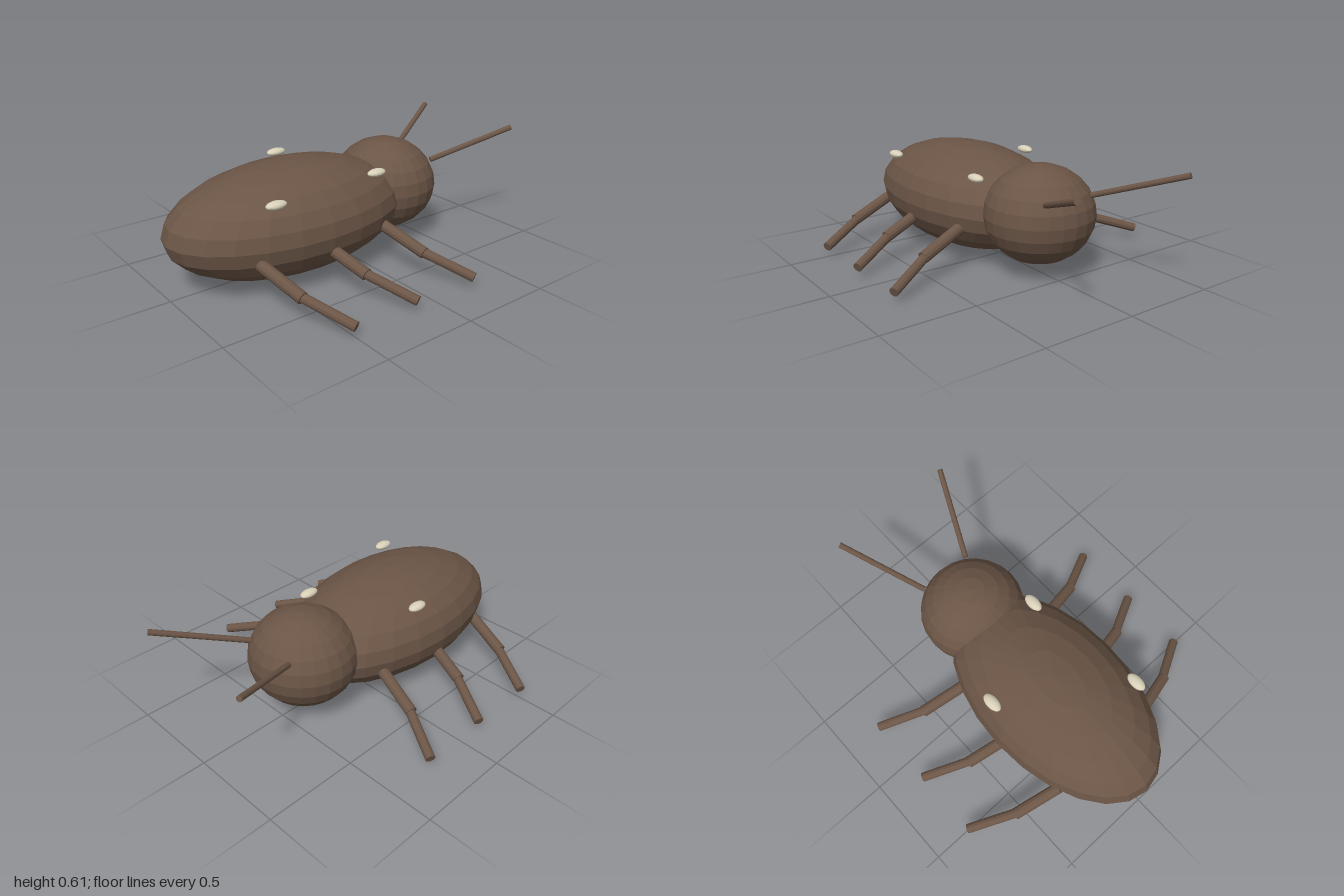
import * as THREE from 'three';

export function createModel() {
  const model = new THREE.Group();
  model.name = 'beetle';
  const brown = new THREE.MeshStandardMaterial({ name: 'shell brown', color: 0x6b5546, flatShading: true });
  const cream = new THREE.MeshStandardMaterial({ name: 'spot cream', color: 0xd8d0b8, flatShading: true });

  const ellipsoid = (name, material, center, radii, parent = model) => {
    const geometry = new THREE.SphereGeometry(1, 24, 12).scale(...radii);
    const mesh = new THREE.Mesh(geometry, material);
    mesh.name = name;
    mesh.position.set(...center);
    parent.add(mesh);
  };

  // Straight rod between two points
  const rod = (name, from, to, radius, parent = model) => {
    const a = new THREE.Vector3(...from);
    const b = new THREE.Vector3(...to);
    const dir = b.clone().sub(a);
    const mesh = new THREE.Mesh(new THREE.CylinderGeometry(radius, radius, dir.length(), 12), brown);
    mesh.name = name;
    mesh.position.copy(a).add(b).multiplyScalar(0.5);
    mesh.quaternion.setFromUnitVectors(new THREE.Vector3(0, 1, 0), dir.normalize());
    parent.add(mesh);
  };

  // Body and head
  ellipsoid('body', brown, [-0.31, 0.29, 0], [0.69, 0.285, 0.4]);
  ellipsoid('head', brown, [0.34, 0.32, 0], [0.285, 0.255, 0.29]);

  // Pale spots on the back
  const spots = [[-0.58, 0.495, 0.305], [0.095, 0.483, 0.22], [-0.175, 0.515, -0.31]];
  for (const spot of spots) ellipsoid('spot', cream, spot, [0.056, 0.021, 0.031]);

  for (const side of [1, -1]) {
    const sideName = side > 0 ? 'front' : 'back';

    // Three jointed legs on each flank
    for (const x of [-0.62, -0.25, 0.13]) {
      const leg = new THREE.Group();
      leg.name = sideName + 'Leg';
      const knee = [x, 0.14, side * 0.56];
      rod('upperLeg', [x - 0.06, 0.225, side * 0.31], knee, 0.031, leg);
      rod('lowerLeg', [x, 0.142, side * 0.55], [x + 0.12, 0.06, side * 0.79], 0.025, leg);
      model.add(leg);
    }

    // Antenna
    rod(sideName + 'Antenna', [0.56, 0.44, side * 0.145], [0.99, 0.598, side * 0.345], 0.015);
  }

  return model;
}
